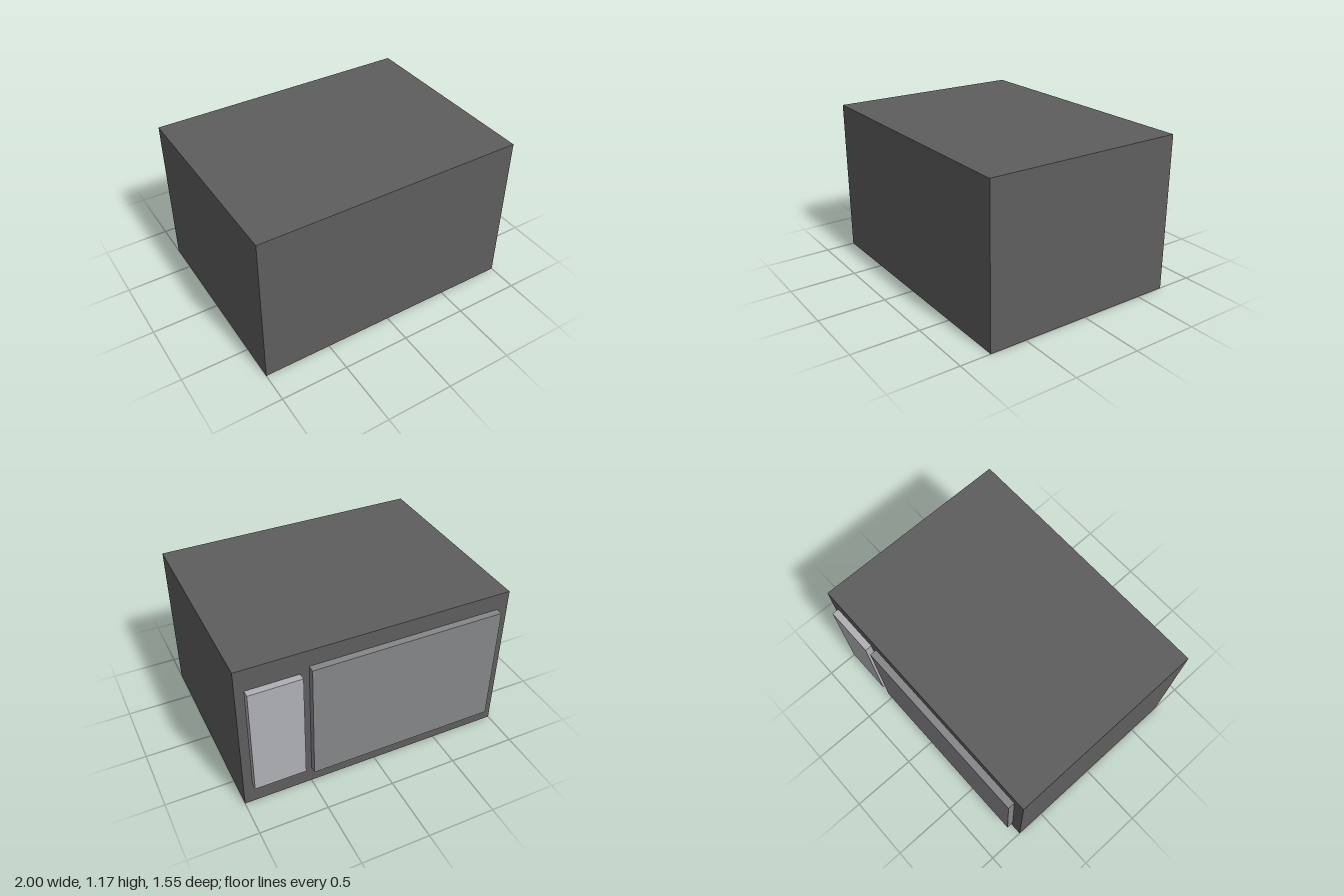
import * as THREE from 'three';

// Box given by its minimum and maximum corners
function addBox(group, name, color, min, max) {
  const size = max.map((v, i) => v - min[i]);
  const mesh = new THREE.Mesh(
    new THREE.BoxGeometry(...size),
    new THREE.MeshStandardMaterial({ color })
  );
  mesh.name = name;
  mesh.position.set(...min.map((v, i) => v + size[i] / 2));
  group.add(mesh);
}

export function createModel() {
  const group = new THREE.Group();
  group.name = 'microwaveOven';
  const back = -0.775, wall = -0.724;

  // Main casing
  addBox(group, 'casing', 0x5e5e5f, [-1, 0, wall], [1, 1.17, 0.775]);
  // Wide door and narrow control panel standing proud of the casing
  addBox(group, 'door', 0x858689, [-0.918, 0.127, back], [0.498, 1.044, wall]);
  addBox(group, 'controlPanel', 0xb0b1b5, [0.56, 0.168, back], [0.935, 1.003, wall]);

  return group;
}
